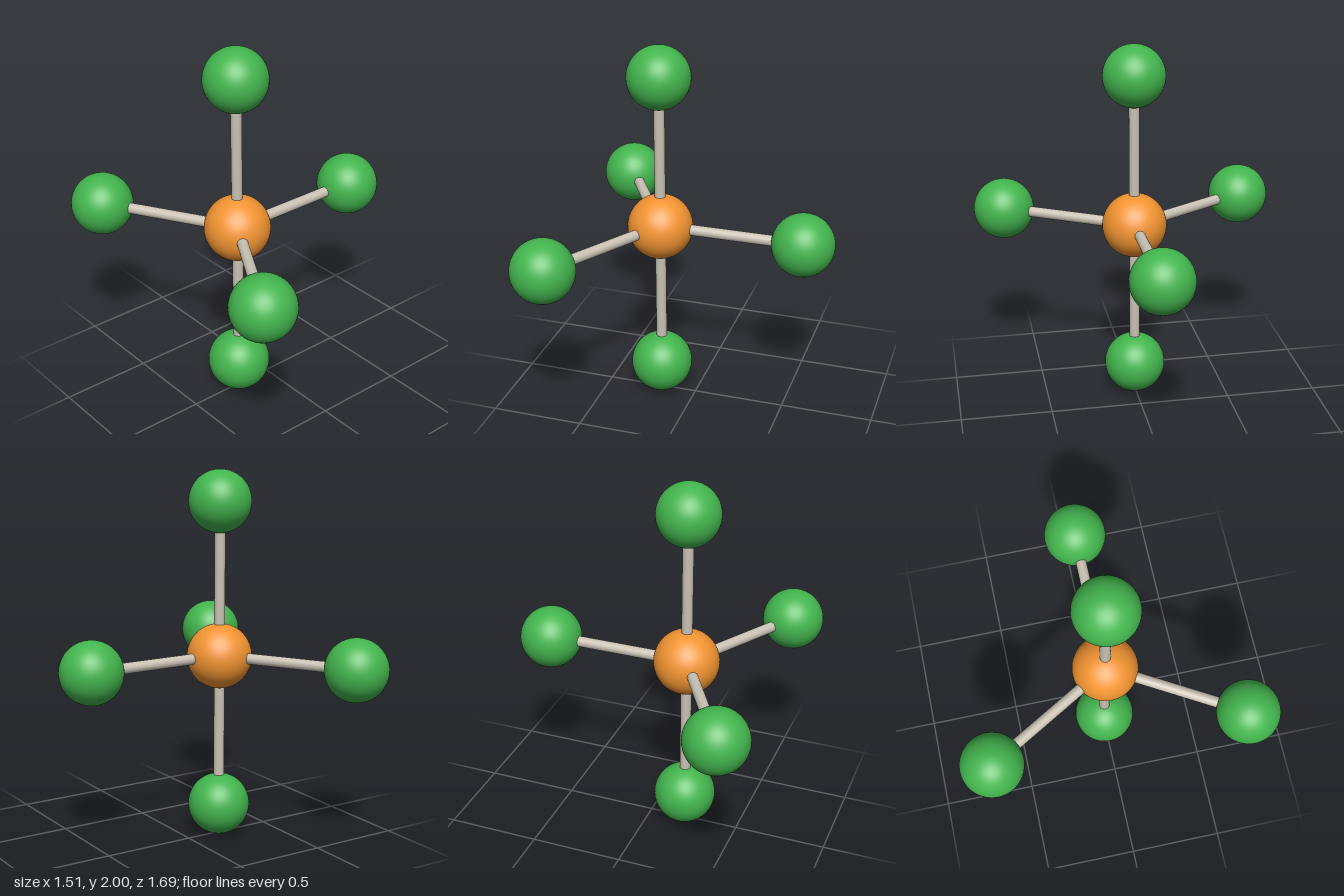
import * as THREE from 'three';

const CENTRE = new THREE.Vector3(-0.196, 1, 0);
const AXIAL = 0.832, EQUATORIAL = 0.783;
const OUTER_RADIUS = 0.168, CENTRE_RADIUS = 0.176, BOND_RADIUS = 0.029;

export function createModel() {
  const model = new THREE.Group();
  model.name = 'molecule';

  const orange = new THREE.MeshStandardMaterial({ color: 0xf29432 });
  const green = new THREE.MeshStandardMaterial({ color: 0x43b54e });
  const bone = new THREE.MeshStandardMaterial({ color: 0xc9c2b4 });
  const outerGeometry = new THREE.SphereGeometry(OUTER_RADIUS, 48, 32);

  function addBall(name, geometry, material, position) {
    const ball = new THREE.Mesh(geometry, material);
    ball.name = name;
    ball.position.copy(position);
    model.add(ball);
  }

  // Outer ball and the rod joining it to the central ball
  function addArm(name, direction, length) {
    const end = CENTRE.clone().addScaledVector(direction, length);
    addBall(name + 'Atom', outerGeometry, green, end);
    const rod = new THREE.Mesh(new THREE.CylinderGeometry(BOND_RADIUS, BOND_RADIUS, length, 24), bone);
    rod.name = name + 'Bond';
    rod.position.copy(CENTRE).lerp(end, 0.5);
    rod.quaternion.setFromUnitVectors(new THREE.Vector3(0, 1, 0), direction);
    model.add(rod);
  }

  addBall('centralAtom', new THREE.SphereGeometry(CENTRE_RADIUS, 48, 32), orange, CENTRE);

  // Vertical pair
  addArm('top', new THREE.Vector3(0, 1, 0), AXIAL);
  addArm('bottom', new THREE.Vector3(0, -1, 0), AXIAL);

  // Three horizontal arms, 120 degrees apart
  ['left', 'frontRight', 'backRight'].forEach((name, i) => {
    const a = (i * 2 * Math.PI) / 3;
    addArm(name, new THREE.Vector3(Math.cos(a), 0, Math.sin(a)), EQUATORIAL);
  });

  return model;
}
